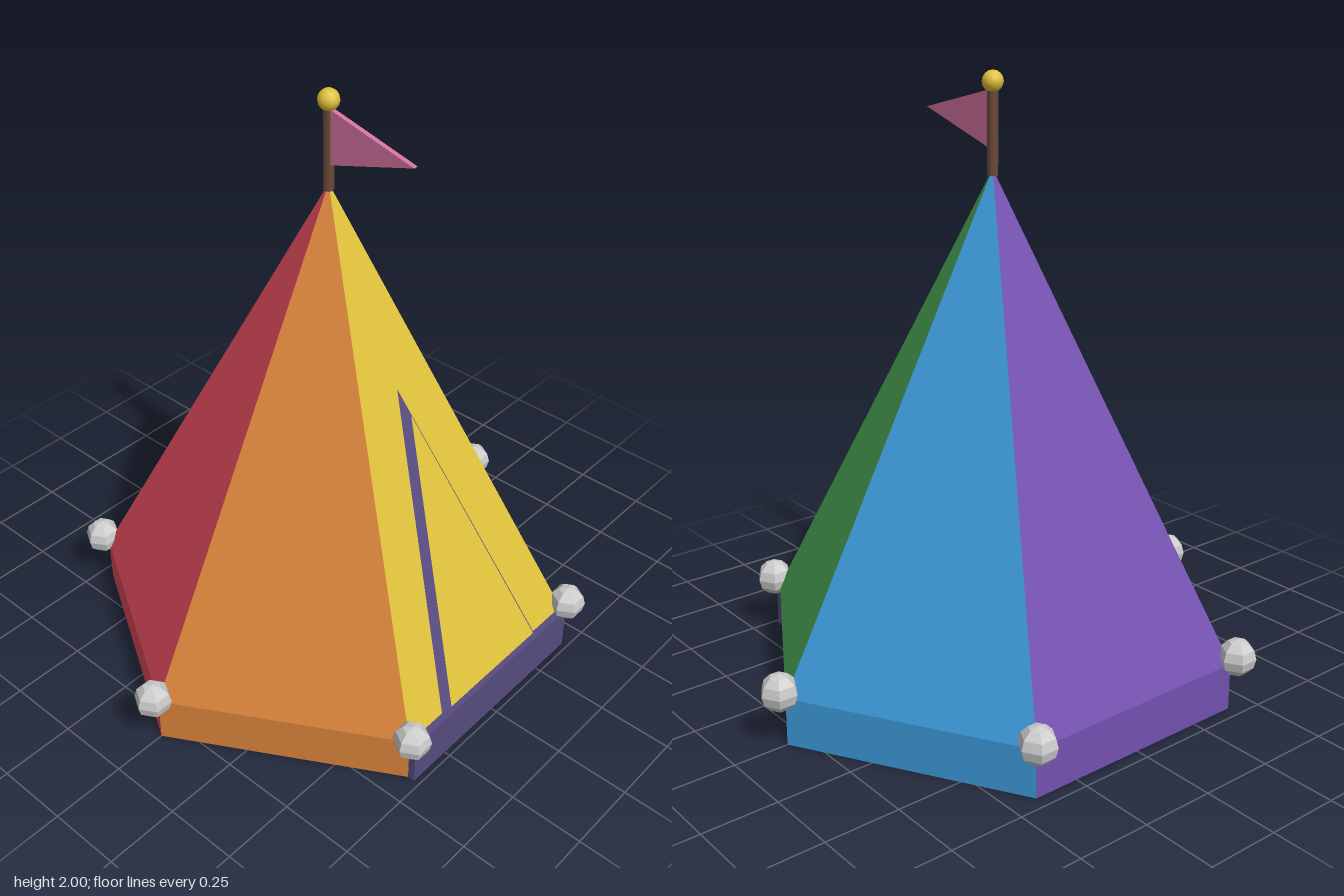
import * as THREE from 'three';

const R = 0.815, WALL = 0.16, APEX = 1.7;

function mat(name, color, side = THREE.FrontSide) {
  const m = new THREE.MeshStandardMaterial({ color, side });
  m.name = name;
  return m;
}

// Flat polygon faces fanned from their first corner
function faces(polygons) {
  const pos = [];
  for (const p of polygons)
    for (let i = 1; i < p.length - 1; i++) pos.push(...p[0], ...p[i], ...p[i + 1]);
  const g = new THREE.BufferGeometry();
  g.setAttribute('position', new THREE.Float32BufferAttribute(pos, 3));
  g.computeVertexNormals();
  return g;
}

export function createModel() {
  const group = new THREE.Group();
  const orange = mat('orange cloth', 0xd8823a);
  const yellow = mat('yellow', 0xe0c23c);
  const green = mat('green cloth', 0x4aa655);
  const blue = mat('blue cloth', 0x3a96d6);
  const purple = mat('purple cloth', 0x7250b0);
  const red = mat('red cloth', 0xdd4a5b);
  const indigo = mat('indigo trim', 0x564c80);
  const silver = mat('silver', 0xcccccc);
  const brown = mat('brown wood', 0x6b4a38);
  const pink = mat('pink flag', 0xd4729f);

  function add(name, geometry, material, x = 0, y = 0, z = 0) {
    const mesh = new THREE.Mesh(geometry, material);
    mesh.name = name;
    mesh.position.set(x, y, z);
    group.add(mesh);
    return mesh;
  }

  const corner = (k, y, r = R) => [r * Math.sin(k * Math.PI / 3), y, r * Math.cos(k * Math.PI / 3)];

  // Six cloth panels, each a low wall and a roof slope, with a ball at each corner
  [orange, yellow, green, blue, purple, red].forEach((material, k) => {
    add('panel' + k, faces([
      [corner(k, 0), corner(k + 1, 0), corner(k + 1, WALL), corner(k, WALL)],
      [corner(k, WALL), corner(k + 1, WALL), [0, APEX, 0]],
    ]), material);
    const ball = new THREE.SphereGeometry(0.062, 6, 6).rotateY(Math.PI / 6).toNonIndexed();
    ball.computeVertexNormals();
    add('cornerBall' + k, ball, silver, ...corner(k, 0.19, 0.835));
  });

  // Floor, facing down
  add('floor', faces([[5, 4, 3, 2, 1, 0].map(k => corner(k, 0))]), green);

  // Sill along the entrance side
  add('entranceSill', new THREE.BoxGeometry(0.025, WALL, R), indigo, 0.717, WALL / 2, 0);

  // Entrance triangle and the flap over it, lying on the left slope
  const apothem = R * Math.cos(Math.PI / 6);
  const rise = APEX - WALL, len = Math.hypot(rise, apothem);
  const onSlope = (z, y, lift) => [
    apothem * (APEX - y) / rise + lift * rise / len, y + lift * apothem / len, z];
  const plate = (points, lift) => faces([points.map(([z, y]) => onSlope(z, y, lift))]);
  add('entrance', plate([[0.25, WALL], [-0.245, WALL], [0, 1.09]], 0.004), indigo);
  add('entranceFlap', plate([[0.205, WALL], [-0.239, WALL], [-0.019, 1.0]], 0.007), yellow);

  // Pole with finial
  add('pole', new THREE.CylinderGeometry(0.017, 0.017, 0.27, 8), brown, 0, 1.815, 0);
  add('finial', new THREE.SphereGeometry(0.034, 12, 8), yellow, 0, 1.966, 0);

  // Pennant
  const pennant = new THREE.Shape([
    new THREE.Vector2(0.012, 1.94), new THREE.Vector2(0.012, 1.765), new THREE.Vector2(0.325, 1.86)]);
  add('pennant', new THREE.ExtrudeGeometry(pennant, { depth: 0.016, bevelEnabled: false }), pink, 0, 0, -0.008);

  return group;
}
